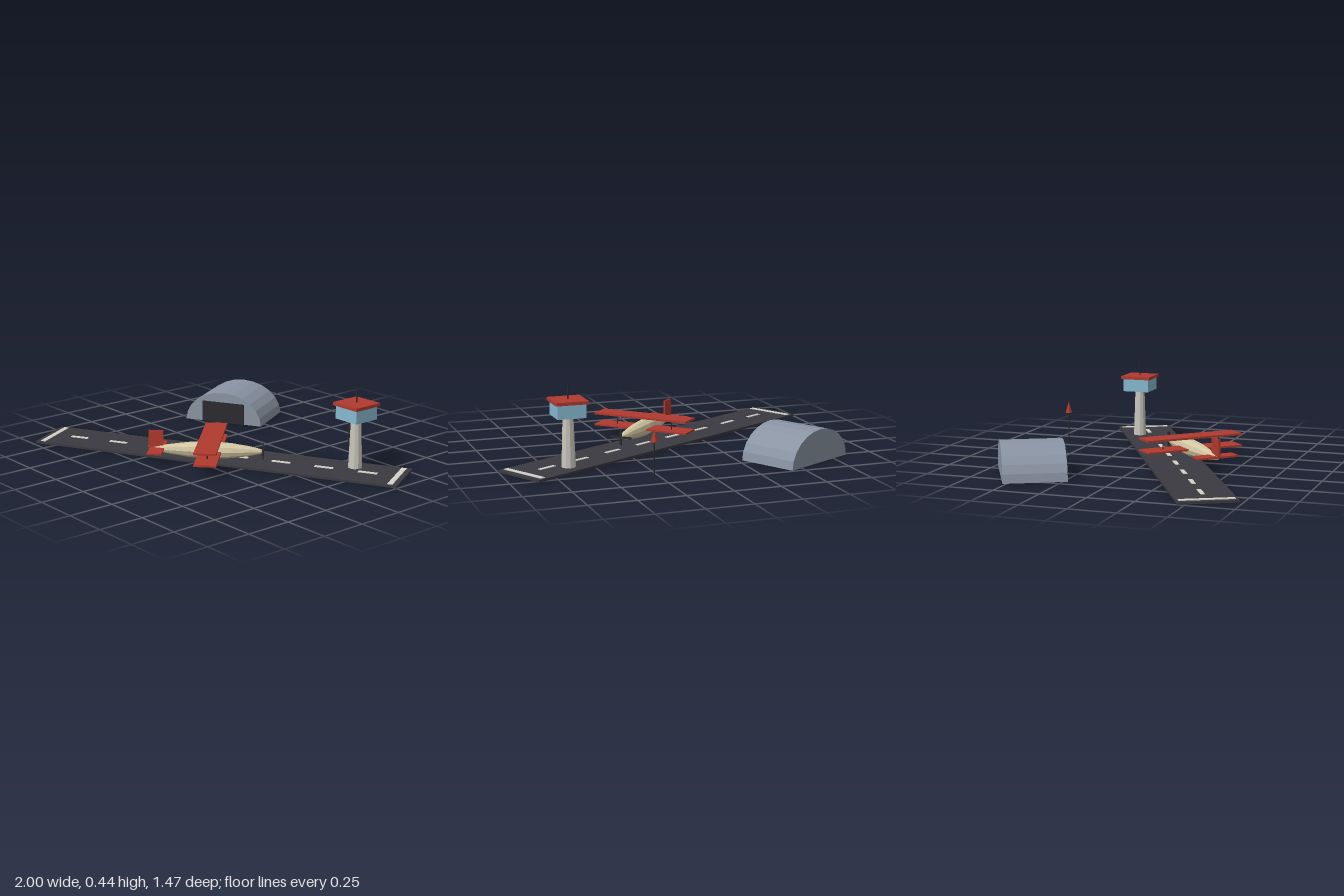
import * as THREE from 'three';

const mat = (name, color) => Object.assign(new THREE.MeshStandardMaterial({ color, flatShading: true }), { name });

export function createModel() {
  const asphalt = mat('asphalt', 0x3a3a40);
  const marking = mat('marking white', 0xd2d2c8);
  const steel = mat('hangar steel', 0x8a94a3);
  steel.side = THREE.DoubleSide;
  const dark = mat('dark metal', 0x2c2c30);
  const concrete = mat('tower concrete', 0xc9c6bc);
  const glass = mat('cabin glass', 0x86b8cf);
  const red = mat('red paint', 0xb03a2e);
  const cream = mat('cream fabric', 0xd2c6a2);

  const model = new THREE.Group();
  model.name = 'airfield';

  const add = (parent, name, geo, material, x, y, z) => {
    const mesh = new THREE.Mesh(geo, material);
    mesh.name = name;
    mesh.position.set(x, y, z);
    parent.add(mesh);
    return mesh;
  };
  const box = (w, h, d) => new THREE.BoxGeometry(w, h, d);
  const rod = (r, h) => new THREE.CylinderGeometry(r, r, h, 6);
  const group = (name, x, y, z, degrees = 0) => {
    const g = new THREE.Group();
    g.name = name;
    g.position.set(x, y, z);
    g.rotation.y = THREE.MathUtils.degToRad(degrees);
    model.add(g);
    return g;
  };

  // Runway with centre dashes and threshold bars
  const runway = group('runway', 0, 0, 0.105, 28);
  add(runway, 'runwaySlab', box(2.1, 0.012, 0.305), asphalt, 0, 0.006, 0);
  for (let i = 0; i < 8; i++) {
    add(runway, 'centreDash', box(0.105, 0.004, 0.022), marking, -0.85 + i * 0.243, 0.0135, 0);
  }
  for (const side of [-1, 1]) {
    add(runway, 'thresholdBar', box(0.028, 0.004, 0.28), marking, side * 1.01, 0.0135, 0);
  }

  // Arched hangar, open underneath, with a dark door
  const hangar = group('hangar', -0.5625, 0, -0.4825, 28);
  const arch = new THREE.CylinderGeometry(0.237, 0.237, 0.333, 12, 1, false, Math.PI / 2, Math.PI);
  arch.rotateX(Math.PI / 2);
  arch.scale(1, 0.76, 1);
  add(hangar, 'hangarShell', arch, steel, 0, 0, 0);
  add(hangar, 'hangarDoor', box(0.26, 0.122, 0.014), dark, 0, 0.061, 0.166);

  // Control tower
  const tower = group('controlTower', 0.64, 0, -0.31);
  add(tower, 'towerShaft', new THREE.CylinderGeometry(0.028, 0.038, 0.282, 10), concrete, 0, 0.142, 0);
  add(tower, 'towerCabin', box(0.153, 0.073, 0.153), glass, 0, 0.3165, 0);
  add(tower, 'towerRoof', box(0.175, 0.017, 0.175), red, 0, 0.3615, 0);
  add(tower, 'towerMast', rod(0.004, 0.07), dark, 0, 0.405, 0);

  // Wind marker
  const marker = group('windMarker', 0.28, 0, -0.62);
  add(marker, 'markerPole', rod(0.004, 0.19), dark, 0, 0.095, 0);
  add(marker, 'markerCone', new THREE.ConeGeometry(0.02, 0.064, 6), red, 0, 0.216, 0);

  // Biplane, nose along local +x
  const plane = group('biplane', 0.035, 0.069, 0.212, 44);
  const profile = [
    [0, -0.305], [0.01, -0.3], [0.026, -0.21], [0.041, -0.1], [0.047, 0.02],
    [0.041, 0.13], [0.027, 0.23], [0.012, 0.295], [0, 0.3],
  ].map(([r, y]) => new THREE.Vector2(r, y));
  const body = new THREE.LatheGeometry(profile, 10);
  body.rotateZ(-Math.PI / 2);
  add(plane, 'fuselage', body, cream, 0, 0, 0);
  add(plane, 'lowerWing', box(0.12, 0.01, 0.57), red, 0.02, 0, 0);
  add(plane, 'upperWing', box(0.12, 0.011, 0.57), red, 0.02, 0.064, 0);
  for (const side of [-1, 1]) {
    add(plane, 'wingStrut', rod(0.004, 0.06), dark, 0.02, 0.032, side * 0.17);
  }
  add(plane, 'tailplane', box(0.08, 0.01, 0.238), red, -0.272, 0.004, 0);
  add(plane, 'tailFin', box(0.08, 0.095, 0.011), red, -0.278, 0.055, 0);

  // Crossed propeller blades
  add(plane, 'propellerBladeUpright', box(0.008, 0.085, 0.011), dark, 0.303, 0, 0);
  add(plane, 'propellerBladeLevel', box(0.008, 0.011, 0.125), dark, 0.303, 0, 0);

  return model;
}
